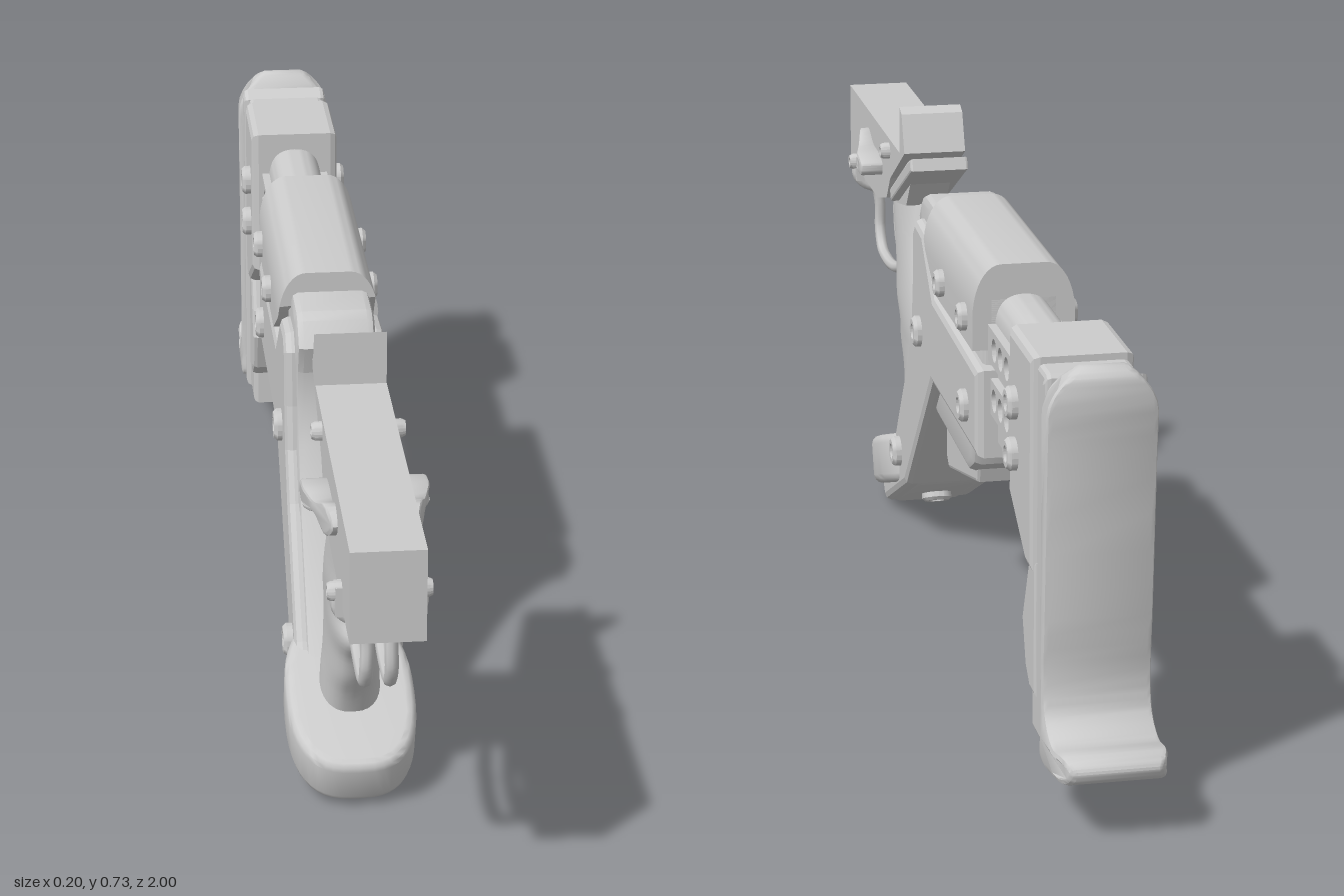
import * as THREE from 'three';
import { toCreasedNormals } from 'three/addons/utils/BufferGeometryUtils.js';

const grey = new THREE.MeshStandardMaterial({ color: 0xcccccc });
const v2 = (p) => new THREE.Vector2(p[0], p[1]);
const v3 = (x, y, z) => new THREE.Vector3(x, y, z);
const crease = (g, a = 0.6) => toCreasedNormals(g, a);

// Side profile of [z, y] points, extruded across x and centred on x = cx
function side(pts, half, bevel = 0, cx = 0, holes = []) {
  const shape = new THREE.Shape(pts.map(v2));
  for (const [z, y, r] of holes) shape.holes.push(new THREE.Path().absarc(z, y, r, 0, Math.PI * 2, true));
  const depth = 2 * (half - bevel);
  const g = new THREE.ExtrudeGeometry(shape, {
    depth, bevelEnabled: bevel > 0, bevelThickness: bevel, bevelSize: bevel,
    bevelOffset: -bevel, bevelSegments: 2, curveSegments: 10,
  });
  return g.translate(0, 0, -depth / 2).rotateY(-Math.PI / 2).translate(cx, 0, 0);
}

// Moves each vertex by a rule
function warp(g, rule) {
  const p = g.attributes.position, v = v3(0, 0, 0);
  for (let i = 0; i < p.count; i++) {
    rule(v.fromBufferAttribute(p, i));
    p.setXYZ(i, v.x, v.y, v.z);
  }
  g.computeVertexNormals();
  return g;
}

// Closed outline smoothed through [z, y] points
const smooth = (pts, n) => new THREE.CatmullRomCurve3(pts.map(([a, b]) => v3(a, b, 0)), true, 'centripetal')
  .getPoints(n).slice(0, -1).map((p) => [p.x, p.y]);

// Oval sections between a front line and a back line: rows of [zF, yF, zB, yB, halfWidth]
function gripGeometry(rows, rings = 40, n = 28) {
  const F = new THREE.CatmullRomCurve3(rows.map((r) => v3(r[4], r[1], r[0])));
  const B = new THREE.CatmullRomCurve3(rows.map((r) => v3(r[4], r[3], r[2])));
  const pos = [], idx = [];
  for (let i = 0; i <= rings; i++) {
    const f = F.getPoint(i / rings), b = B.getPoint(i / rings);
    for (let j = 0; j < n; j++) {
      const a = (j / n) * Math.PI * 2, t = (1 + Math.cos(a)) / 2;
      const s = Math.sign(Math.sin(a)) * Math.abs(Math.sin(a)) ** 0.8;
      pos.push(s * f.x, b.y + (f.y - b.y) * t, b.z + (f.z - b.z) * t);
      if (i < rings) {
        const k = i * n + j, m = i * n + ((j + 1) % n);
        idx.push(k, k + n, m, m, k + n, m + n);
      }
    }
  }
  const g = new THREE.BufferGeometry();
  g.setAttribute('position', new THREE.Float32BufferAttribute(pos, 3));
  g.setIndex(idx);
  g.computeVertexNormals();
  return g;
}

export function createModel() {
  const model = new THREE.Group();
  const add = (name, g) => {
    const m = new THREE.Mesh(g, grey);
    m.name = name;
    model.add(m);
    return m;
  };

  // Receiver with upright rear fin, and the slanted tail plate below it
  add('receiver', side([[1, 0.515], [1, 0.655], [0.46, 0.655], [0.458, 0.737], [0.438, 0.728],
    [0.412, 0.665], [0.56, 0.585], [0.6, 0.54], [0.7, 0.515]], 0.053));
  add('tailPlate', side([[0.585, 0.56], [0.575, 0.54], [0.365, 0.645], [0.373, 0.665], [0.4, 0.655]], 0.05, 0.004));
  add('tailNeck', side([[0.6, 0.6], [0.6, 0.53], [0.5, 0.55], [0.43, 0.63], [0.45, 0.65]], 0.035));

  // Grip with finger swells
  add('grip', gripGeometry([
    [0.73, 0.535, 0.5, 0.57, 0.032], [0.7, 0.505, 0.49, 0.535, 0.036], [0.655, 0.46, 0.475, 0.49, 0.04],
    [0.632, 0.41, 0.44, 0.43, 0.043], [0.628, 0.37, 0.41, 0.385, 0.045], [0.6, 0.335, 0.385, 0.34, 0.044],
    [0.615, 0.3, 0.365, 0.305, 0.042], [0.582, 0.255, 0.36, 0.26, 0.041], [0.56, 0.21, 0.37, 0.22, 0.042],
    [0.53, 0.165, 0.385, 0.19, 0.045], [0.5, 0.1, 0.4, 0.13, 0.048]]));
  add('trigger', side([[0.72, 0.53], [0.675, 0.53], [0.65, 0.45], [0.645, 0.405], [0.665, 0.41], [0.685, 0.46]], 0.014, 0.004));

  // Rounded pommel joining grip and arm
  const oval = new THREE.Shape();
  for (let i = 0; i < 48; i++) {
    const a = (i / 48) * Math.PI * 2, c = Math.cos(a), s = Math.sin(a);
    const x = 0.1 * Math.sign(c) * Math.abs(c) ** 0.7, y = 0.158 * Math.sign(s) * Math.abs(s) ** 0.8;
    i ? oval.lineTo(x, y) : oval.moveTo(x, y);
  }
  const pommel = new THREE.ExtrudeGeometry(oval, { depth: 0.055, bevelThickness: 0.015, bevelSize: 0.015, bevelOffset: -0.015, bevelSegments: 3 });
  add('pommel', crease(pommel.translate(0, 0, -0.0275).rotateX(-Math.PI / 2).rotateX(0.34).translate(0, 0.103, 0.452)));

  // Arm and body: inner core with cap, wider outer plates
  add('bodyCore', crease(side([[0.2, 0.645], [0.18, 0.653], [0.105, 0.653], [0.095, 0.62], [-0.34, 0.62], [-0.34, 0.4],
    [0.03, 0.375], [0.28, 0.11], [0.5, 0.005], [0.53, 0.035], [0.39, 0.18], [0.27, 0.34], [0.22, 0.44], [0.207, 0.5],
    [0.206, 0.56], [0.228, 0.61]], 0.062, 0.012), 0.5));
  add('bodyPlates', side([[0.2, 0.5], [0.195, 0.59], [0.17, 0.615], [0.1, 0.61], [0.005, 0.525], [-0.365, 0.515],
    [-0.365, 0.375], [0.02, 0.375], [0.275, 0.115], [0.49, 0.012], [0.515, 0.04], [0.38, 0.18], [0.25, 0.355],
    [0.212, 0.43]], 0.079, 0.012));

  // Rounded top cover with a clipped front corner
  const arch = new THREE.Shape([[-0.08, 0.59], [-0.08, 0.54], [0.08, 0.54], [0.08, 0.59]].map(v2));
  arch.bezierCurveTo(0.08, 0.64, 0.06, 0.675, 0.035, 0.675);
  arch.lineTo(-0.035, 0.675);
  arch.bezierCurveTo(-0.06, 0.675, -0.08, 0.64, -0.08, 0.59);
  const cover = new THREE.ExtrudeGeometry(arch, { depth: 0.42, bevelEnabled: false, curveSegments: 10 }).translate(0, 0, -0.34);
  add('topCover', crease(warp(cover, (v) => { if (v.z > 0) v.z -= Math.max(0, 0.6 - v.y) * 1.7; })));

  // Belly housing and wedge under the body
  add('bellyHousing', crease(side([[0.12, 0.39], [0.12, 0.3], [-0.19, 0.295], [-0.235, 0.32], [-0.26, 0.39]], 0.06, 0.015)));
  add('bellyWedge', side([[0.07, 0.31], [0.07, 0.235], [0.05, 0.218], [-0.19, 0.275], [-0.2, 0.31]], 0.045, 0.006));

  // Extension tube with perforated rails
  const tube = new THREE.Shape([[-0.045, 0.57], [-0.045, 0.4], [0.045, 0.4], [0.045, 0.57]].map(v2));
  tube.bezierCurveTo(0.045, 0.61, 0.03, 0.627, 0, 0.627);
  tube.bezierCurveTo(-0.03, 0.627, -0.045, 0.61, -0.045, 0.57);
  add('extensionTube', crease(new THREE.ExtrudeGeometry(tube, { depth: 0.32, bevelEnabled: false }).translate(0, 0, -0.64)));
  for (const y of [0.555, 0.475]) for (const s of [1, -1]) {
    const holes = [0, 1, 2, 3, 4].map((i) => [-0.393 - i * 0.047, y, 0.018]);
    add('perforatedRail', crease(side([[-0.345, y - 0.028], [-0.345, y + 0.028], [-0.61, y + 0.028], [-0.61, y - 0.028]],
      0.007, 0, s * 0.05, holes)));
  }

  // Butt: collar with spine, front hump, liner and shoulder pad
  const roundTop = (g, top, r) => warp(g, (v) => {
    const d = Math.max(0, v.y - (top - r)) / r;
    v.x -= Math.sign(v.x) * Math.min(0.04, 0.045 * d * d);
  });
  add('buttCollar', side([[-0.59, 0.655], [-0.755, 0.655], [-0.755, 0.33], [-0.71, 0.33], [-0.59, 0.4]], 0.075, 0.012));
  add('buttSpine', side([[-0.74, 0.645], [-0.8, 0.645], [-0.825, 0.62], [-0.825, 0.08], [-0.72, 0.08], [-0.72, 0.14],
    [-0.73, 0.33]], 0.066, 0.008));
  add('buttHump', side([[-0.71, 0.335], [-0.665, 0.235], [-0.69, 0.165], [-0.72, 0.14], [-0.76, 0.14], [-0.76, 0.35]], 0.07, 0.008));
  add('padLiner', side([[-0.81, 0.64], [-0.84, 0.65], [-0.84, 0.075], [-0.81, 0.075]], 0.073, 0.008));
  const pad = smooth([[-0.838, 0.55], [-0.838, 0.61], [-0.842, 0.65], [-0.862, 0.675], [-0.883, 0.665], [-0.885, 0.635],
    [-0.878, 0.55], [-0.864, 0.3], [-0.858, 0.2], [-0.87, 0.155], [-0.91, 0.132], [-0.97, 0.138], [-0.998, 0.125],
    [-0.985, 0.102], [-0.93, 0.09], [-0.84, 0.083], [-0.838, 0.13], [-0.838, 0.3]], 90);
  const padGeo = warp(roundTop(side(pad, 0.08, 0.008), 0.675, 0.07), (v) => {
    v.x *= 1 - 0.2 * Math.max(0, (-0.94 - v.z) / 0.06) ** 2;
  });
  add('shoulderPad', crease(padGeo, 0.7));

  // Bolts: [z, y, surface x, radius], mirrored on both sides
  const boltGeometry = (r, h) => crease(new THREE.LatheGeometry([[r, -h], [r, h * 0.65], [r * 0.8, h], [r * 0.5, h],
    [r * 0.45, h * 0.35], [0, h * 0.35]].map(v2), 18));
  const bolts = [[0.125, 0.435, 0.076, 0.026], [-0.09, 0.578, 0.078, 0.022], [-0.28, 0.578, 0.078, 0.022],
    [-0.28, 0.435, 0.076, 0.026], [0.33, 0.158, 0.078, 0.026], [-0.64, 0.553, 0.074, 0.025], [-0.64, 0.475, 0.074, 0.025],
    [0.57, 0.633, 0.053, 0.014], [0.885, 0.537, 0.058, 0.014]];
  for (const [z, y, x, r] of bolts) for (const s of [1, -1]) {
    const bolt = add('bolt', boltGeometry(r, 0.016));
    bolt.position.set(s * x, y, z);
    bolt.rotation.z = -s * Math.PI / 2;
  }
  const lowerBolt = add('lowerBolt', boltGeometry(0.026, 0.014));
  lowerBolt.position.set(0, 0.048, 0.41);
  lowerBolt.rotation.x = Math.PI + 0.44;

  // Side levers flaring outward to the rear, and the twin-wire trigger guard
  const leverOutline = smooth([[0.825, 0.605], [0.79, 0.622], [0.74, 0.605], [0.68, 0.602], [0.64, 0.59], [0.645, 0.572],
    [0.7, 0.572], [0.74, 0.585], [0.79, 0.575]], 40);
  for (const s of [1, -1]) {
    const lever = side(leverOutline, 0.023, 0.005, s * 0.069);
    add('sideLever', crease(warp(lever, (v) => {
      const out = Math.abs(v.x) - 0.046;
      v.x = s * (0.046 + out * (1 - Math.min(0.7, Math.max(0, v.z - 0.69) * 5)));
    }), 0.7));
    const path = [[0.058, 0.545, 0.885], [0.058, 0.51, 0.885], [0.045, 0.495, 0.885], [0.025, 0.485, 0.885],
      [0.018, 0.46, 0.885], [0.018, 0.41, 0.884], [0.018, 0.378, 0.86], [0.018, 0.37, 0.8], [0.018, 0.378, 0.72],
      [0.018, 0.405, 0.62]];
    const wire = new THREE.CatmullRomCurve3(path.map((p) => v3(s * p[0], p[1], p[2])));
    add('triggerGuard', new THREE.TubeGeometry(wire, 60, 0.01, 8));
    add('guardBracket', new THREE.BoxGeometry(0.014, 0.045, 0.028).translate(s * 0.056, 0.525, 0.885));
  }
  add('guardBridge', new THREE.BoxGeometry(0.045, 0.02, 0.03).translate(0, 0.4, 0.635));

  return model;
}
